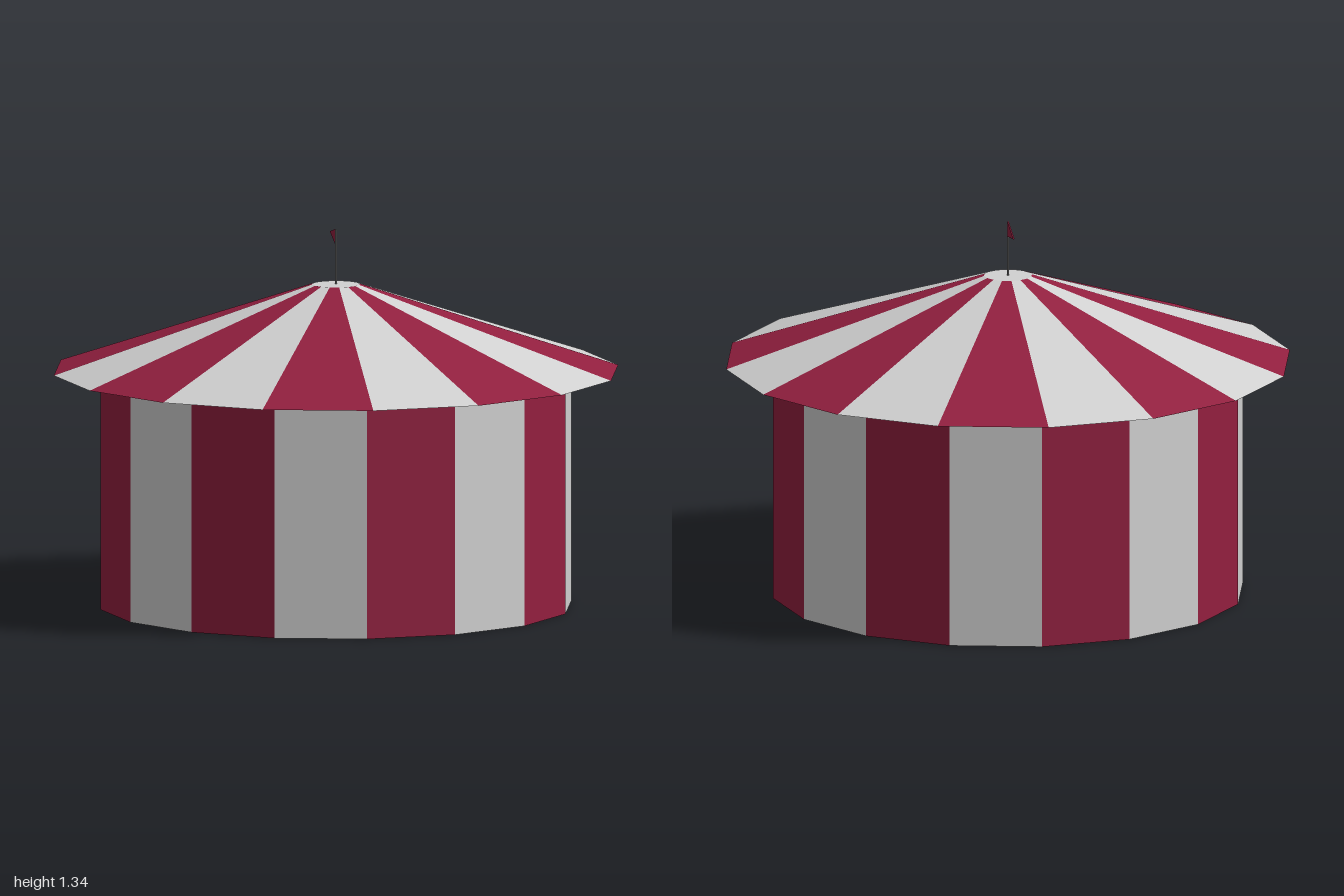
import * as THREE from 'three';
import { mergeGeometries } from 'three/addons/utils/BufferGeometryUtils.js';

const SIDES = 16;
const WALL_RADIUS = 0.834, EAVE_RADIUS = 1, CROWN_RADIUS = 0.085;
const EAVE_Y = 0.834, CROWN_Y = 1.14, POLE_TOP = 1.335;
const POLE_Z = -0.002, FLAG_THICKNESS = 0.005;

function material(name, color) {
  const m = new THREE.MeshStandardMaterial({ color });
  m.name = name;
  return m;
}

// Every second flat panel of a tapered ring, beginning with panel `first`
function panels(topRadius, bottomRadius, y0, y1, first) {
  const step = (Math.PI * 2) / SIDES;
  const parts = [];
  for (let i = first; i < SIDES; i += 2) {
    const g = new THREE.CylinderGeometry(topRadius, bottomRadius, y1 - y0, 1, 1, true, i * step, step).toNonIndexed();
    g.translate(0, (y0 + y1) / 2, 0);
    g.computeVertexNormals();
    parts.push(g);
  }
  return mergeGeometries(parts);
}

// Horizontal polygon facing up (1) or down (-1)
function disc(radius, y, facing) {
  const g = new THREE.CircleGeometry(radius, SIDES);
  g.rotateX((-facing * Math.PI) / 2);
  g.translate(0, y, 0);
  return g;
}

export function createModel() {
  const model = new THREE.Group();
  model.name = 'stripedTent';

  const white = material('white canvas', 0xd1d1d1);
  const red = material('red canvas', 0x921f3f);
  const grey = material('grey lining and pole', 0x969696);

  const add = (name, geometry, mat) => {
    const mesh = new THREE.Mesh(geometry, mat);
    mesh.name = name;
    model.add(mesh);
  };

  // Walls and floor
  add('redWallPanels', panels(WALL_RADIUS, WALL_RADIUS, 0, EAVE_Y, 0), red);
  add('whiteWallPanels', panels(WALL_RADIUS, WALL_RADIUS, 0, EAVE_Y, 1), white);
  add('floor', disc(WALL_RADIUS, 0, -1), grey);

  // Roof, with stripes offset from those of the walls
  add('whiteRoofPanels', panels(CROWN_RADIUS, EAVE_RADIUS, EAVE_Y, CROWN_Y, 0), white);
  add('redRoofPanels', panels(CROWN_RADIUS, EAVE_RADIUS, EAVE_Y, CROWN_Y, 1), red);
  add('roofUnderside', disc(EAVE_RADIUS, EAVE_Y, -1), grey);
  add('roofCrown', disc(CROWN_RADIUS, CROWN_Y, 1), white);

  // Flagpole and pennant, which flies towards the back
  const pole = new THREE.CylinderGeometry(0.003, 0.003, POLE_TOP - CROWN_Y, 8);
  pole.translate(0, (POLE_TOP + CROWN_Y) / 2, POLE_Z);
  add('flagpole', pole, grey);

  const pennant = new THREE.Shape([
    new THREE.Vector2(0, 1.28),
    new THREE.Vector2(0.145, 1.306),
    new THREE.Vector2(0, POLE_TOP),
  ]);
  const flag = new THREE.ExtrudeGeometry(pennant, { depth: FLAG_THICKNESS, bevelEnabled: false });
  flag.translate(0, 0, -FLAG_THICKNESS / 2);
  flag.rotateY(Math.PI / 2);
  flag.translate(0, 0, POLE_Z);
  add('flag', flag, red);

  return model;
}
